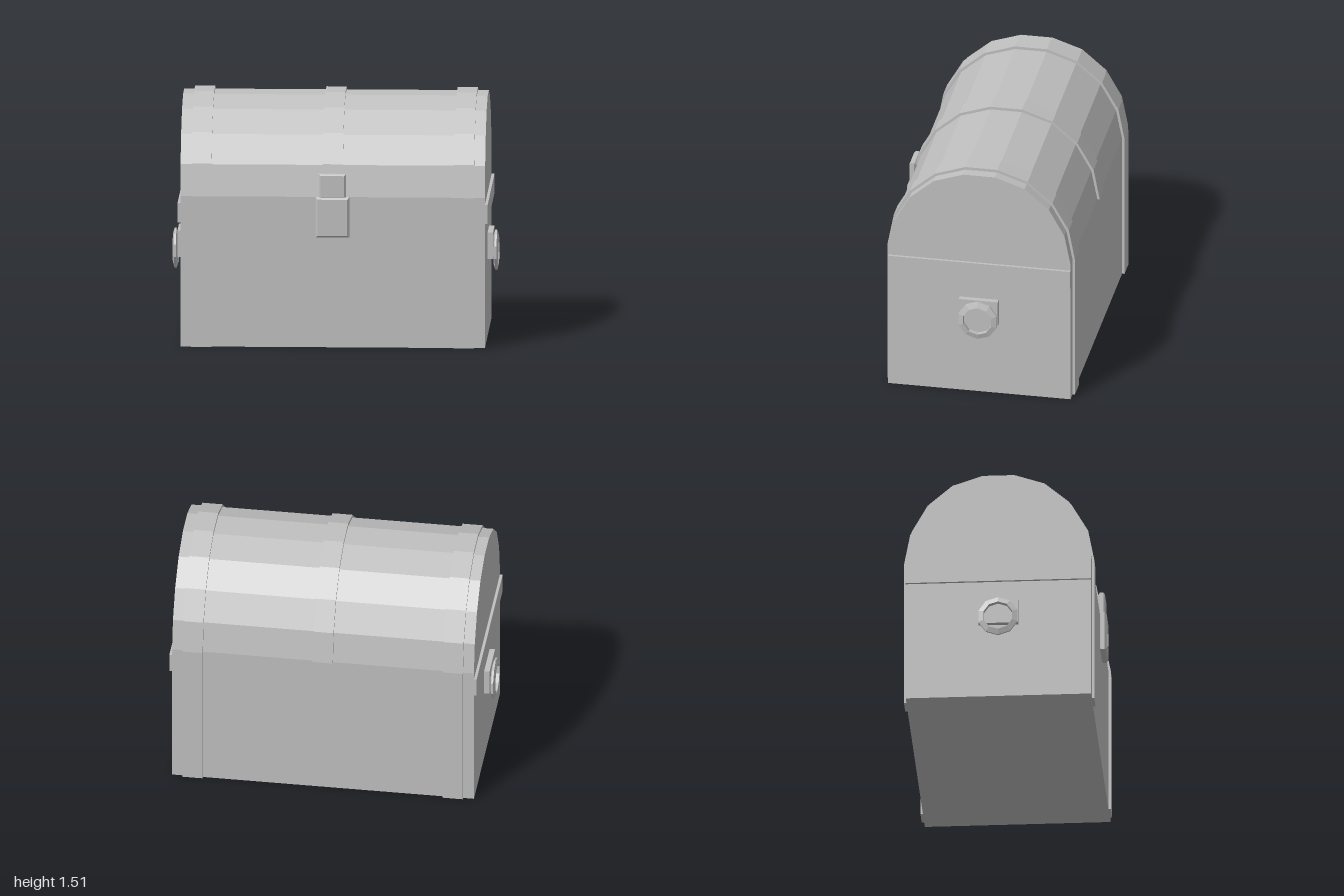
import * as THREE from 'three';

const MID_Z = -0.015; // centre of the chest body, front to back
const SPRING_Y = 0.935; // height where the curved lid begins

// Half arches, from the lid's lower edge up to its flat crown
const LID = [[0.57, SPRING_Y], [0.532, 1.128], [0.435, 1.3], [0.283, 1.43], [0.098, 1.492]];
const BAND = [[0.585, SPRING_Y], [0.547, 1.135], [0.445, 1.312], [0.29, 1.445], [0.1, 1.51]];

// Full arch from the front edge over to the back edge
function arch(half) {
  const back = half.map(([z, y]) => [-z, y]).reverse();
  return [...half, ...back].map(([z, y]) => new THREE.Vector2(z + MID_Z, y));
}

// Extrude a (z, y) outline along x, centred on x = 0
function extrudeAlongX(points, width) {
  const geo = new THREE.ExtrudeGeometry(new THREE.Shape(points), { depth: width, bevelEnabled: false });
  return geo.translate(0, 0, -width / 2).rotateY(-Math.PI / 2);
}

// Box given by its limits
function box(x0, x1, y0, y1, z0, z1) {
  return new THREE.BoxGeometry(x1 - x0, y1 - y0, z1 - z0)
    .translate((x0 + x1) / 2, (y0 + y1) / 2, (z0 + z1) / 2);
}

// Plate with chamfered edges, facing +z
function bevelledPlate(w, y0, y1, z0, z1, b) {
  const x = w / 2 - b;
  const shape = new THREE.Shape([[-x, y0 + b], [x, y0 + b], [x, y1 - b], [-x, y1 - b]]
    .map(([px, py]) => new THREE.Vector2(px, py)));
  return new THREE.ExtrudeGeometry(shape, {
    depth: z1 - z0 - 2 * b, bevelThickness: b, bevelSize: b, bevelSegments: 1,
  }).translate(0, 0, z0 + b);
}

export function createModel() {
  const group = new THREE.Group();
  const grey = new THREE.MeshStandardMaterial({ color: 0xc0c0c0, flatShading: true });
  grey.name = 'grey';
  const add = (name, geo, x = 0) => {
    const mesh = new THREE.Mesh(geo, grey);
    mesh.name = name;
    mesh.position.x = x;
    group.add(mesh);
  };

  // Chest body and barrel lid in one outline
  const v = (z, y) => new THREE.Vector2(z + MID_Z, y);
  add('chestBody', extrudeAlongX([v(0.57, 0), ...arch(LID), v(-0.57, 0)], 1.87));

  // Raised bands over the lid
  const bandOutline = [...arch(BAND), ...arch(LID).reverse()];
  for (const [name, x] of [['rightLidBand', -0.806], ['middleLidBand', 0], ['leftLidBand', 0.806]]) {
    add(name, extrudeAlongX(bandOutline, 0.124), x);
  }

  // Handle ring section: narrow rim, wide inner edge
  const ring = new THREE.LatheGeometry(
    [[0.092, -0.016], [0.126, -0.006], [0.126, 0.006], [0.092, 0.016], [0.092, -0.016]]
      .map(([r, y]) => new THREE.Vector2(r, y)), 10, Math.PI / 2)
    .rotateZ(Math.PI / 2).translate(0, 0.517, MID_Z);

  for (const [side, s] of [['left', 1], ['right', -1]]) {
    // Upright straps on the front and back
    add(side + 'FrontStrap', box(-0.062, 0.062, 0, SPRING_Y, 0.555, 0.57), s * 0.806);
    add(side + 'BackStrap', box(-0.062, 0.062, 0, SPRING_Y, -0.6, -0.585), s * 0.806);
    // Rail, handle plate and handle ring on each end
    add(side + 'EndRail', box(-0.01, 0.01, 0.772, 0.892, -0.585, 0.555), s * 0.942);
    add(side + 'HandlePlate', box(-0.0175, 0.0175, 0.48, 0.645, -0.137, 0.107), s * 0.951);
    add(side + 'HandleRing', ring, s * 0.984);
  }

  // Clasp with lock plate and keyhole piece
  add('claspHasp', bevelledPlate(0.164, 0.93, 1.08, 0.545, 0.586, 0.01));
  add('lockPlate', bevelledPlate(0.206, 0.688, 0.937, 0.55, 0.598, 0.012));
  add('keyhole', box(-0.012, 0.012, 0.747, 0.832, 0.594, 0.602));

  return group;
}
